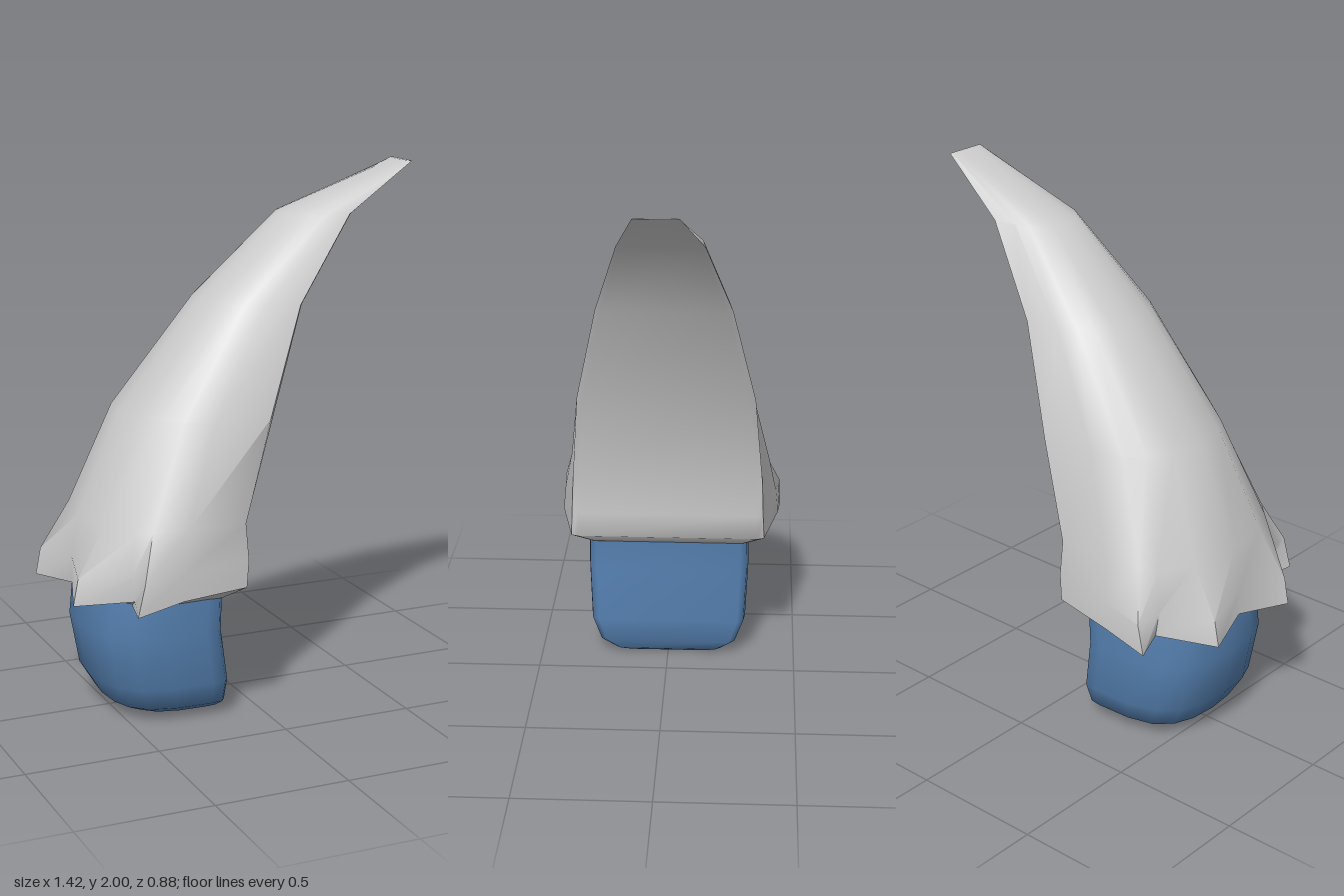
import * as THREE from 'three';
import { toCreasedNormals } from 'three/addons/utils/BufferGeometryUtils.js';

// Mirror a half section (back to front along +z) into a closed loop.
function mirrorLoop(half) {
  const other = half.slice(1).reverse().map(([x, y, z]) => [x, y, -z]);
  return [...half, ...other];
}

// Skin closed loops, listed from bottom to top, and cap both ends.
function loft(halves, crease) {
  const loops = halves.map(mirrorLoop);
  const n = loops[0].length;
  const pos = [];
  const tri = (a, b, c) => pos.push(...a, ...b, ...c);
  for (let r = 0; r < loops.length - 1; r++) {
    for (let j = 0; j < n; j++) {
      const k = (j + 1) % n;
      tri(loops[r][j], loops[r][k], loops[r + 1][k]);
      tri(loops[r][j], loops[r + 1][k], loops[r + 1][j]);
    }
  }
  const centre = (loop) => [0, 1, 2].map((i) => loop.reduce((s, p) => s + p[i], 0) / n);
  const low = loops[0], high = loops[loops.length - 1];
  const lowMid = centre(low), highMid = centre(high);
  for (let j = 0; j < n; j++) {
    const k = (j + 1) % n;
    tri(lowMid, low[k], low[j]);
    tri(highMid, high[j], high[k]);
  }
  const geo = new THREE.BufferGeometry();
  geo.setAttribute('position', new THREE.Float32BufferAttribute(pos, 3));
  return toCreasedNormals(geo, crease);
}

// Scale a unit half section [along x, along z] to one level.
const section = (shape, [y, back, front, width]) =>
  shape.map(([u, w]) => [back + (front - back) * u, y, w * width]);

export function createModel() {
  const group = new THREE.Group();

  // Horn: jagged collar of spikes at the back, flat on the +x side
  const collar = [
    [[-0.58, 0.47, 0], [-0.56, 0.47, 0.16], [-0.5, 0.47, 0.25], [-0.46, 0.47, 0.29],
      [-0.35, 0.47, 0.31], [-0.17, 0.47, 0.31], [-0.16, 0.47, 0.29]],
    [[-0.64, 0.5, 0], [-0.71, 0.48, 0.21], [-0.52, 0.51, 0.335], [-0.55, 0.485, 0.44],
      [-0.37, 0.52, 0.43], [-0.1, 0.52, 0.375], [-0.09, 0.52, 0.35]],
    [[-0.64, 0.6, 0], [-0.69, 0.58, 0.21], [-0.53, 0.6, 0.33], [-0.52, 0.6, 0.435],
      [-0.36, 0.62, 0.42], [-0.09, 0.62, 0.37], [-0.08, 0.62, 0.345]],
    [[-0.61, 0.76, 0], [-0.58, 0.76, 0.19], [-0.51, 0.75, 0.315], [-0.46, 0.76, 0.36],
      [-0.33, 0.77, 0.39], [-0.1, 0.76, 0.365], [-0.09, 0.76, 0.34]],
  ];
  const hornShape = [[0, 0], [0.05, 0.4], [0.17, 0.64], [0.31, 0.8], [0.53, 0.93], [0.96, 1], [1, 0.93]];
  const hornLevels = [
    [1.13, -0.45, 0.03, 0.335],
    [1.52, -0.13, 0.18, 0.25],
    [1.825, 0.2, 0.42, 0.155],
    [2, 0.69, 0.71, 0.08],
  ];
  const horn = new THREE.Mesh(
    loft([...collar, ...hornLevels.map((l) => section(hornShape, l))], 0.95),
    new THREE.MeshStandardMaterial({ color: 0xcccccc })
  );
  horn.name = 'horn';
  group.add(horn);

  // Base plug with rounded bottom
  const plugShape = [[0, 0], [0.025, 0.4], [0.1, 0.68], [0.25, 0.88], [0.5, 0.98],
    [0.85, 1], [0.96, 0.98], [1, 0.9]];
  const plugLevels = [
    [0, -0.38, -0.16, 0.16],
    [0.015, -0.46, -0.14, 0.21],
    [0.05, -0.53, -0.135, 0.27],
    [0.14, -0.585, -0.135, 0.305],
    [0.34, -0.62, -0.165, 0.315],
    [0.48, -0.605, -0.16, 0.315],
  ];
  const plug = new THREE.Mesh(
    loft(plugLevels.map((l) => section(plugShape, l)), 1.1),
    new THREE.MeshStandardMaterial({ color: 0x5580b0 })
  );
  plug.name = 'basePlug';
  group.add(plug);

  return group;
}
